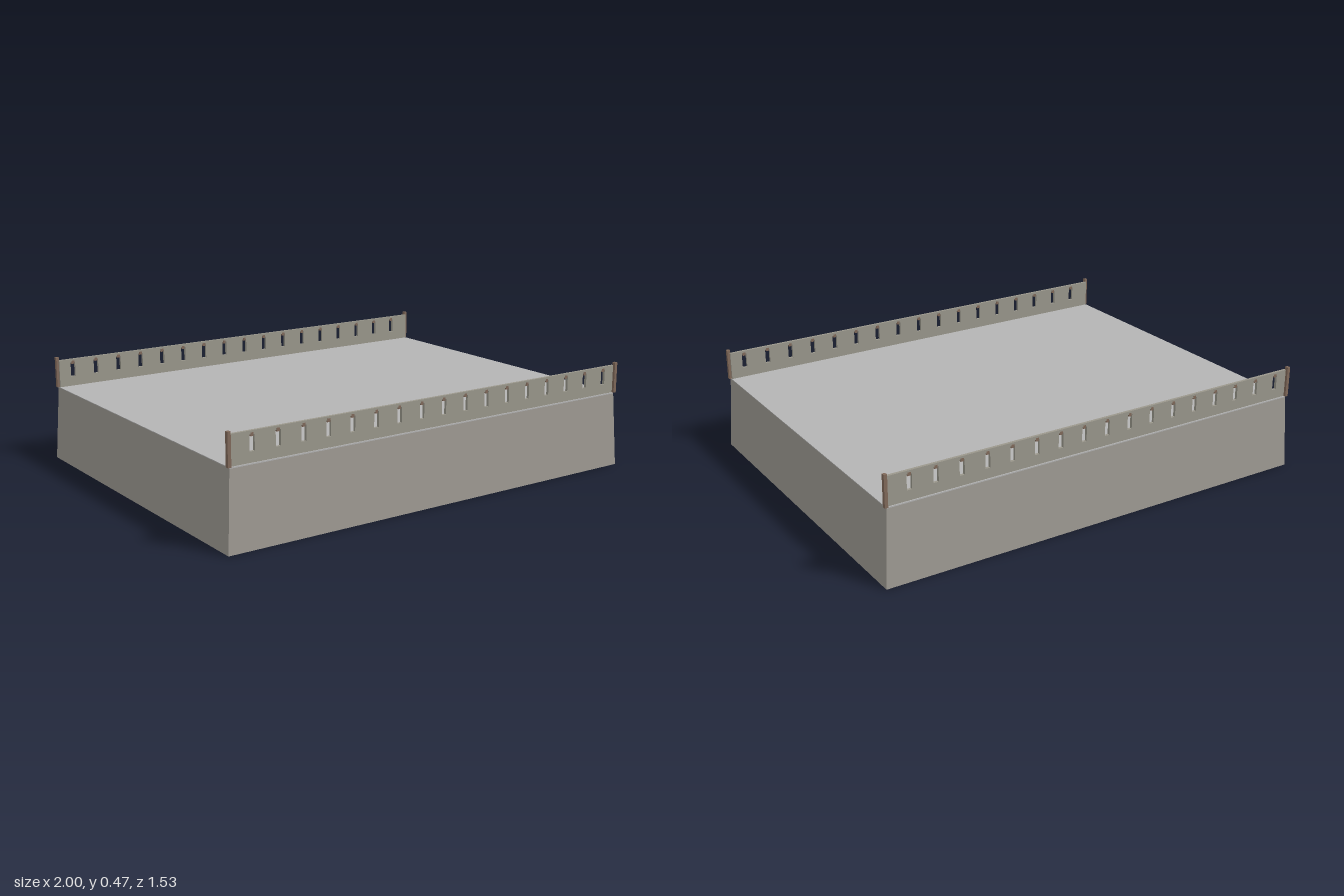
import * as THREE from 'three';

export function createModel() {
  const model = new THREE.Group();
  model.name = 'platform';

  const wallMat = new THREE.MeshStandardMaterial({ color: 0x9d9992, side: THREE.DoubleSide });
  wallMat.name = 'warm grey wall';
  const deckMat = new THREE.MeshStandardMaterial({ color: 0xb4b4b4 });
  deckMat.name = 'light grey deck';
  const railMat = new THREE.MeshStandardMaterial({ color: 0x9a978c });
  railMat.name = 'grey parapet';
  const brownMat = new THREE.MeshStandardMaterial({ color: 0x80695a });
  brownMat.name = 'brown post';

  const add = (parent, name, geometry, material, x = 0, y = 0, z = 0) => {
    const mesh = new THREE.Mesh(geometry, material);
    mesh.name = name;
    mesh.position.set(x, y, z);
    parent.add(mesh);
    return mesh;
  };

  // Tapered skirt, open underneath
  const H = 0.327;
  let skirt = new THREE.CylinderGeometry(0.98 * Math.SQRT2, Math.SQRT2, H, 4, 1, true);
  skirt.rotateY(Math.PI / 4);
  skirt.scale(1, 1, 0.765);
  skirt = skirt.toNonIndexed();
  skirt.computeVertexNormals();
  add(model, 'skirtWalls', skirt, wallMat, 0, H / 2, 0);

  // Thin deck closing the top
  add(model, 'deck', new THREE.BoxGeometry(1.96, 0.005, 1.5), deckMat, 0, 0.3275, 0);

  // One parapet with a row of slots; the slots sit slightly off centre
  function makeParapet() {
    const group = new THREE.Group();
    const panel = new THREE.Shape();
    panel.moveTo(-0.978, 0.33);
    panel.lineTo(0.978, 0.33);
    panel.lineTo(0.978, 0.452);
    panel.lineTo(-0.978, 0.452);
    panel.closePath();

    const pin = new THREE.BoxGeometry(0.013, 0.014, 0.015);
    for (let i = 0; i < 17; i++) {
      const x = -0.88 + i * 0.1121;
      const slot = new THREE.Path();
      slot.moveTo(x - 0.011, 0.373);
      slot.lineTo(x - 0.011, 0.437);
      slot.lineTo(x + 0.011, 0.437);
      slot.lineTo(x + 0.011, 0.373);
      slot.closePath();
      panel.holes.push(slot);
      // Small pin over each slot
      add(group, 'slotPin', pin, brownMat, x, 0.437, 0.7385);
    }
    const panelGeo = new THREE.ExtrudeGeometry(panel, { depth: 0.012, bevelEnabled: false });
    add(group, 'parapetPanel', panelGeo, railMat, 0, 0, 0.733);

    // End posts
    for (const side of [-1, 1]) {
      add(group, 'endPost', new THREE.BoxGeometry(0.014, 0.135, 0.016), brownMat,
        side * 0.982, 0.3975, 0.748);
    }
    return group;
  }

  const front = makeParapet();
  front.name = 'frontParapet';
  const back = makeParapet();
  back.name = 'backParapet';
  back.rotation.y = Math.PI;
  model.add(front, back);

  return model;
}
